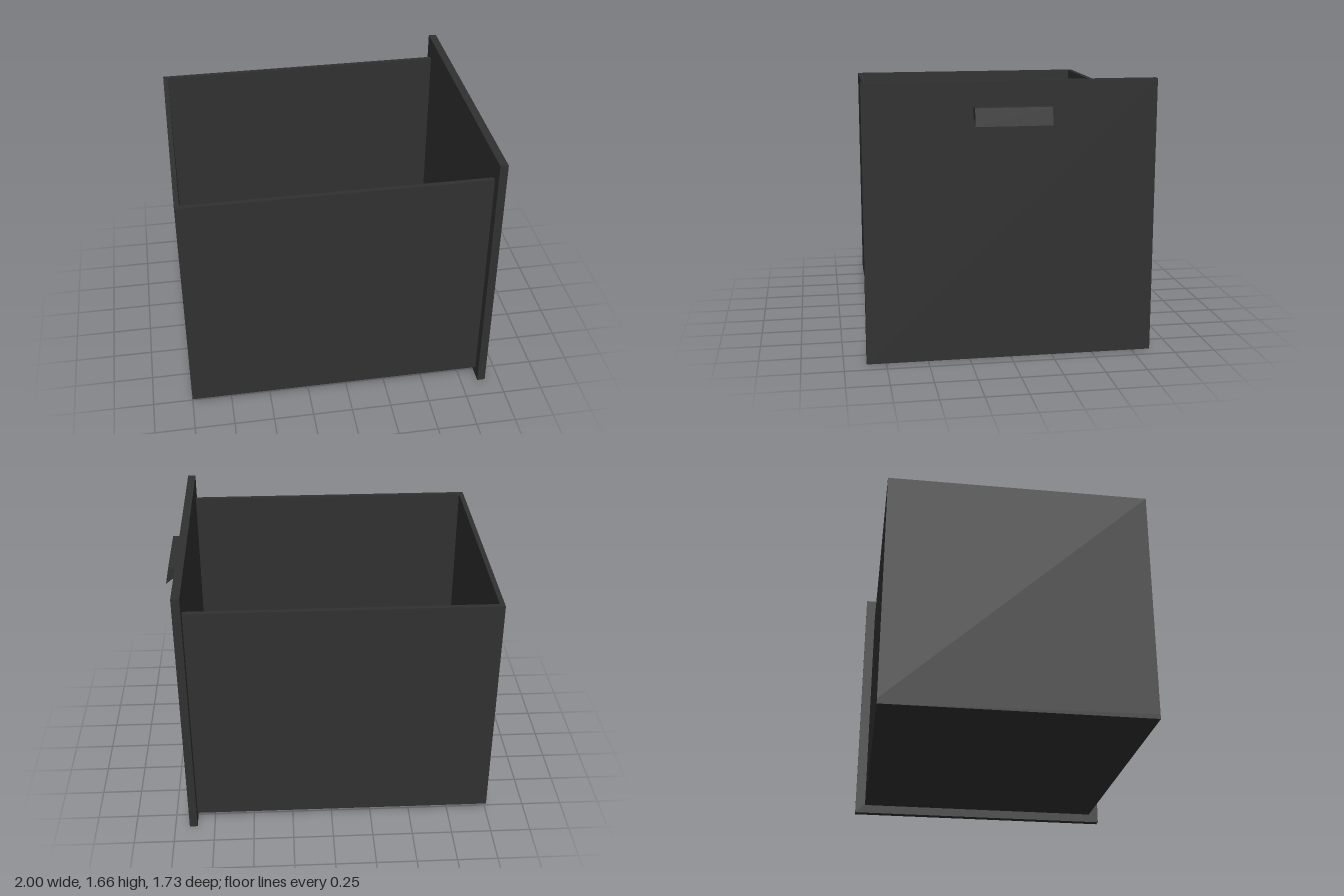
import * as THREE from 'three';

export function createModel() {
  const group = new THREE.Group();
  const charcoal = new THREE.MeshStandardMaterial({ color: 0x303030 });
  charcoal.name = 'charcoal';

  const add = (name, geometry) => {
    const mesh = new THREE.Mesh(geometry, charcoal);
    mesh.name = name;
    group.add(mesh);
    return mesh;
  };
  // Box given by its minimum and maximum corners
  const board = (name, [x0, y0, z0], [x1, y1, z1]) =>
    add(name, new THREE.BoxGeometry(x1 - x0, y1 - y0, z1 - z0))
      .position.set((x0 + x1) / 2, (y0 + y1) / 2, (z0 + z1) / 2);

  const back = -1, face = 0.86, bottom = 0.055, top = 1.53, half = 0.8, wall = 0.03;

  // Open drawer box
  board('floor', [back, bottom, -half], [face, bottom + wall, half]);
  board('backWall', [back, bottom + wall, -half], [back + wall, top, half]);
  board('leftWall', [back + wall, bottom + wall, half - wall], [face, top, half]);
  board('rightWall', [back + wall, bottom + wall, -half], [face, top, -half + wall]);

  // Overhanging drawer face
  board('facePanel', [face, 0, -0.865], [0.91, 1.665, 0.865]);

  // Pull handle with a down-turned lip
  const profile = new THREE.Shape([
    [0.91, 1.52], [0.91, 1.458], [0.96, 1.447], [1.0, 1.415], [0.98, 1.52],
  ].map(([x, y]) => new THREE.Vector2(x, y)));
  const handle = new THREE.ExtrudeGeometry(profile, { depth: 0.45, bevelEnabled: false });
  add('handle', handle.translate(0, 0, -0.225));

  return group;
}
